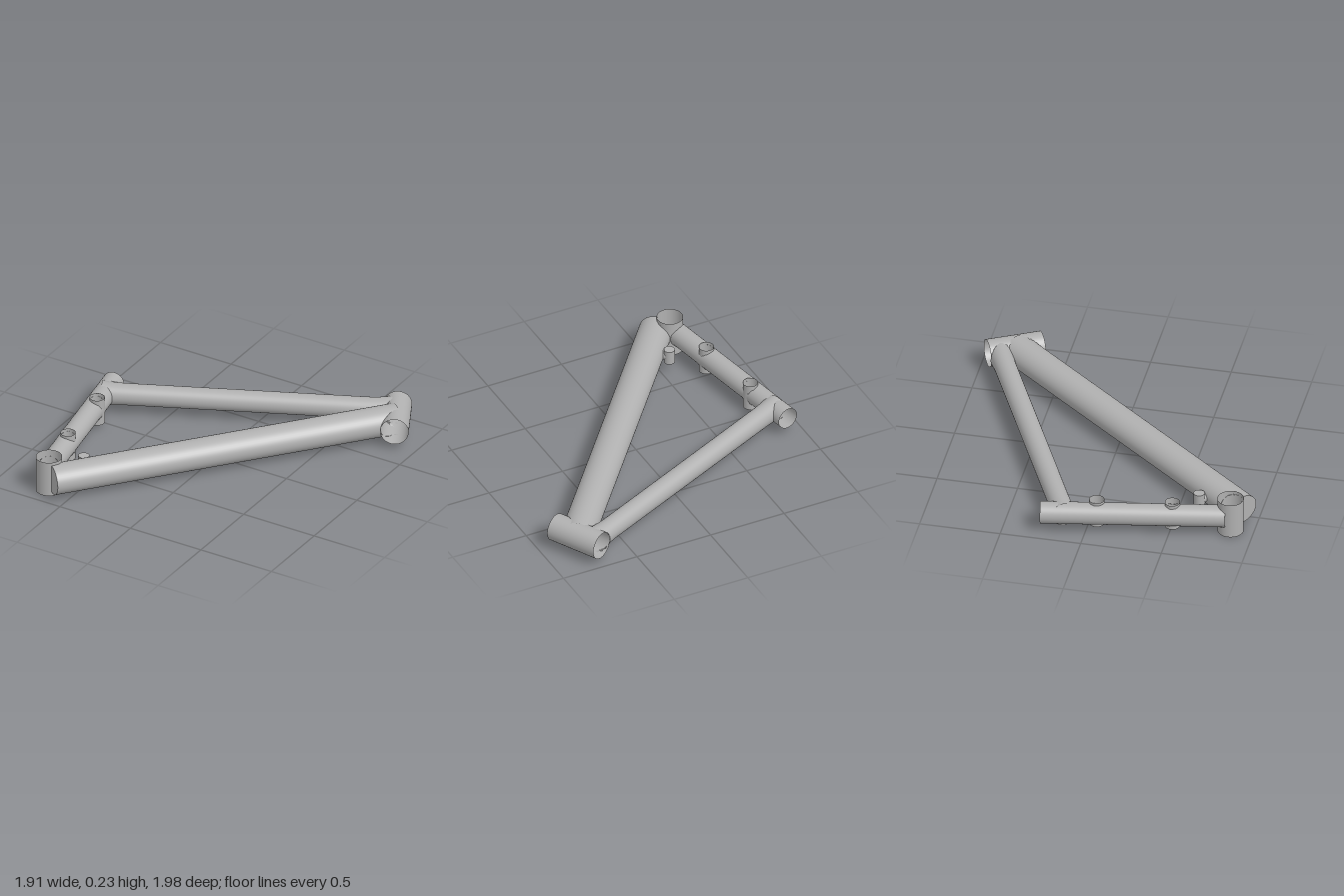
import * as THREE from 'three';

const MID = 0.122; // height of the plane holding all tube axes
const at = (x, z, y = MID) => new THREE.Vector3(x, y, z);
const UP = new THREE.Vector3(0, 1, 0);

// Removes the part of a geometry inside cylindrical cutters and fits the cut edge to them
function carve(geo, cutters) {
  const pos = geo.attributes.position;
  const v = new THREE.Vector3(), foot = new THREE.Vector3();
  let faces = Array.from(geo.index.array);
  for (const { point, dir, r } of cutters) {
    const inside = [];
    for (let i = 0; i < pos.count; i++) {
      v.fromBufferAttribute(pos, i);
      foot.copy(dir).multiplyScalar(v.clone().sub(point).dot(dir)).add(point);
      const off = v.clone().sub(foot);
      inside[i] = off.length() < r;
      if (inside[i]) {
        v.copy(foot).addScaledVector(off.normalize(), r);
        pos.setXYZ(i, v.x, v.y, v.z);
      }
    }
    const kept = [];
    for (let i = 0; i < faces.length; i += 3) {
      const f = faces.slice(i, i + 3);
      if (!f.every((k) => inside[k])) kept.push(...f);
    }
    faces = kept;
  }
  geo.setIndex(faces);
  return geo;
}

// Open tube between two points; flare widens its far and near ends
function tube(a, b, r, { cutters = [], squash = 1, flareA = 0, flareB = 0 } = {}) {
  const len = a.distanceTo(b);
  const geo = new THREE.CylinderGeometry(r, r, len, 48, Math.ceil(len / 0.015), true);
  const p = geo.attributes.position;
  for (let i = 0; i < p.count; i++) {
    const t = p.getY(i) + len / 2;
    const k = 1 + flareA * Math.max(0, 1 - t / 0.16) ** 2 + flareB * Math.max(0, 1 - (len - t) / 0.2) ** 2;
    p.setX(i, p.getX(i) * k);
    p.setZ(i, p.getZ(i) * k);
  }
  const dir = b.clone().sub(a).normalize();
  geo.applyQuaternion(new THREE.Quaternion().setFromUnitVectors(UP, dir));
  geo.scale(1, squash, 1);
  const c = a.clone().add(b).multiplyScalar(0.5);
  geo.translate(c.x, c.y, c.z);
  return carve(geo, cutters);
}

const cutter = (a, b, r) => ({ point: a, dir: b.clone().sub(a).normalize(), r });

export function createModel() {
  const group = new THREE.Group();
  const grey = new THREE.MeshStandardMaterial({ color: 0xb0b0b0, side: THREE.DoubleSide });
  grey.name = 'frame grey';
  const add = (name, geo) => {
    const mesh = new THREE.Mesh(geo, grey);
    mesh.name = name;
    group.add(mesh);
  };

  // Key points of the frame
  const shellLow = at(-0.664, 0.857, 0.003), shellHigh = at(-0.664, 0.857, 0.235);
  const headTop = at(0.715, -0.95), headLow = at(0.875, -0.645);
  const seatTop = at(-0.893, -0.275), seatLow = at(-0.695, 0.83);
  const downLow = at(-0.604, 0.92), downHigh = at(0.8, -0.79);

  const shellCut = cutter(shellLow, shellHigh, 0.079);
  const headCut = cutter(headTop, headLow, 0.085);
  const seatCut = cutter(seatTop, seatLow, 0.067);

  // Short open sleeves
  add('bottomBracketShell', tube(shellLow, shellHigh, 0.08));
  add('headTube', tube(headTop, headLow, 0.086));

  // Pivot sleeves running through the seat tube
  const pivots = [[-0.807, 0.058], [-0.738, 0.512]];
  const pivotCuts = pivots.map(([x, z]) => {
    const low = at(x, z, 0.035), high = at(x, z, 0.208);
    add('pivotSleeve', tube(low, high, 0.046));
    return cutter(low, high, 0.0455);
  });

  // Main tubes, coped where they meet the sleeves
  add('seatTube', tube(seatTop, seatLow, 0.068, { cutters: [shellCut, ...pivotCuts] }));
  add('topTube', tube(at(-0.885, -0.127), at(0.755, -0.888), 0.067,
    { cutters: [seatCut, headCut], flareA: 0.15, flareB: 0.3 }));
  add('downTube', tube(downLow, downHigh, 0.104, { cutters: [shellCut, headCut], squash: 0.89 }));

  // Flat end of the down tube beside the shell
  const cap = new THREE.RingGeometry(0.001, 0.104, 48, 10);
  const out = downLow.clone().sub(downHigh).normalize();
  cap.applyQuaternion(new THREE.Quaternion().setFromUnitVectors(new THREE.Vector3(0, 0, 1), out));
  cap.scale(1, 0.89, 1);
  cap.translate(downLow.x, downLow.y, downLow.z);
  add('downTubeEnd', carve(cap, [shellCut]));

  // Small lug on the inner side of the down tube
  const knob = new THREE.CylinderGeometry(0.034, 0.034, 0.09, 24);
  knob.translate(-0.55, MID, 0.638);
  add('lugBarrel', knob);
  add('lugNeck', tube(at(-0.55, 0.638), at(-0.47, 0.715), 0.03));

  return group;
}
